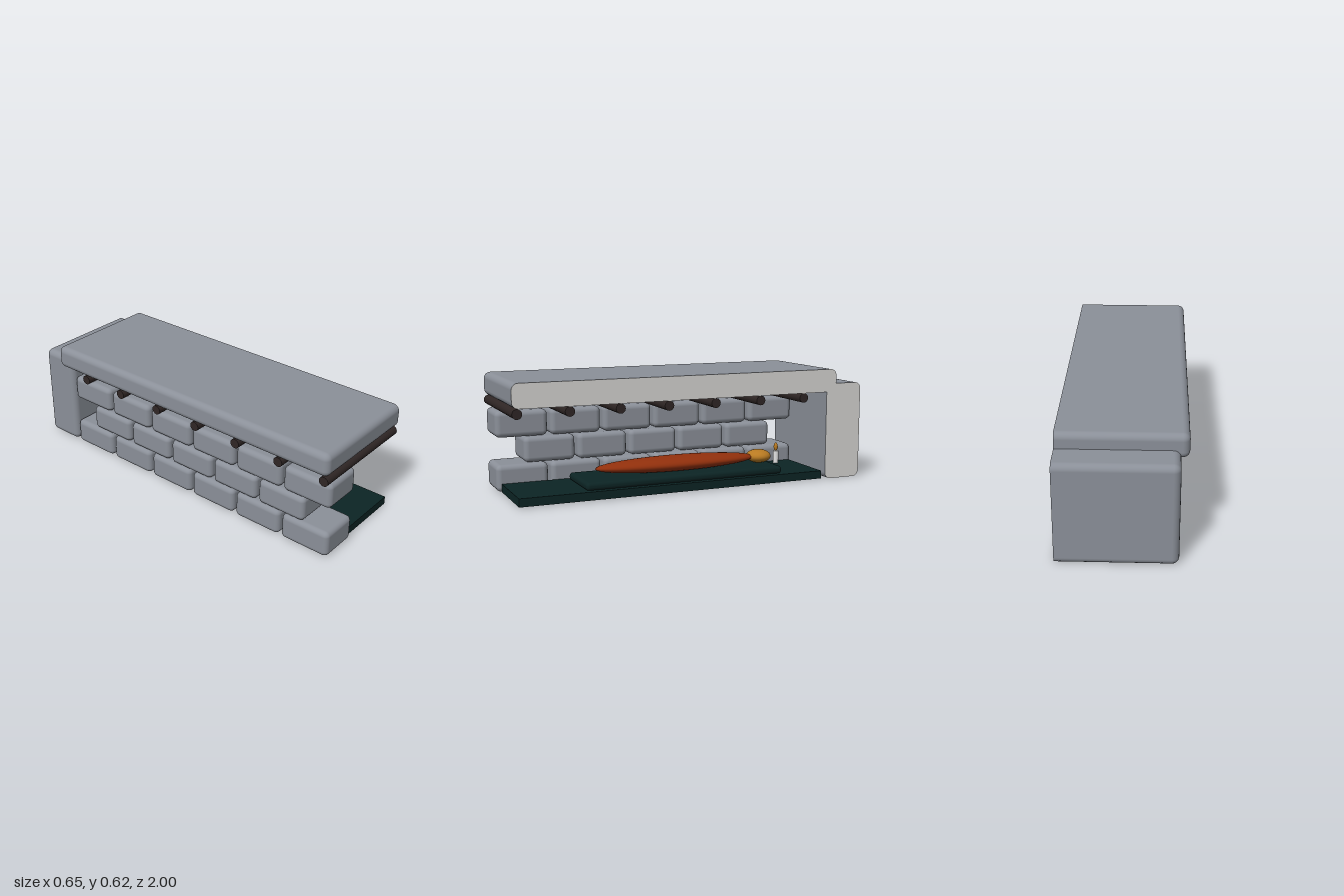
import * as THREE from 'three';
import { RoundedBoxGeometry } from 'three/addons/geometries/RoundedBoxGeometry.js';

const material = (name, color) => {
  const m = new THREE.MeshStandardMaterial({ color });
  m.name = name;
  return m;
};

export function createModel() {
  const root = new THREE.Group();
  root.name = 'stoneShelter';
  const stone = material('grey stone', 0x8b9099);
  const cutStone = material('pale cut stone', 0xd6d5d2);
  const wood = material('dark wood', 0x2f2625);
  const cloth = material('dark green cloth', 0x0c2424);
  const blanket = material('rust red', 0x92300c);
  const amber = material('amber', 0xb87a22);
  const wax = material('white wax', 0xe2e2e2);
  const CUT = 0.322; // plane where the shelter is sliced open

  const add = (name, geometry, mat, x, y, z, parent = root) => {
    const mesh = new THREE.Mesh(geometry, mat);
    mesh.name = name;
    mesh.position.set(x, y, z);
    parent.add(mesh);
    return mesh;
  };
  const ellipsoid = (rx, ry, rz) => new THREE.SphereGeometry(1, 32, 20).scale(rx, ry, rz);

  // Rounded slab between two corners
  const slab = (name, [x0, y0, z0], [x1, y1, z1], r, mat, parent) =>
    add(name, new RoundedBoxGeometry(x1 - x0, y1 - y0, z1 - z0, 3, r), mat,
      (x0 + x1) / 2, (y0 + y1) / 2, (z0 + z1) / 2, parent);

  // Rounded slab flattened at the cut plane, with a pale face covering the cut
  const cutSlab = (name, [x0, y0, z0], [y1, z1], r) => {
    const group = new THREE.Group();
    group.name = name;
    root.add(group);
    const body = slab(name + 'Stone', [x0, y0, z0], [CUT + r, y1, z1], r, stone, group);
    const p = body.geometry.attributes.position, n = body.geometry.attributes.normal;
    const limit = CUT - 0.002 - body.position.x;
    for (let i = 0; i < p.count; i++) {
      if (p.getX(i) < limit) continue;
      p.setX(i, limit);
      const len = Math.hypot(n.getY(i), n.getZ(i));
      if (len > 1e-3) n.setXYZ(i, 0, n.getY(i) / len, n.getZ(i) / len);
    }
    // Rounded rectangle, drawn with shape x along -z
    const w = (z1 - z0) / 2, h = (y1 - y0) / 2, s = new THREE.Shape();
    s.absarc(w - r, h - r, r, 0, Math.PI / 2);
    s.absarc(-w + r, h - r, r, Math.PI / 2, Math.PI);
    s.absarc(-w + r, -h + r, r, Math.PI, Math.PI * 1.5);
    s.absarc(w - r, -h + r, r, Math.PI * 1.5, Math.PI * 2);
    add(name + 'CutFace', new THREE.ShapeGeometry(s, 6).rotateY(Math.PI / 2), cutStone,
      CUT, (y0 + y1) / 2, (z0 + z1) / 2, group);
  };

  // Roof slab and end wall
  cutSlab('roof', [-0.324, 0.495, -0.84], [0.622, 1], 0.035);
  cutSlab('endWall', [-0.281, 0.003, -1], [0.542, -0.78], 0.035);

  // Side wall: three staggered courses of blocks
  const wall = new THREE.Group();
  wall.name = 'blockWall';
  root.add(wall);
  [[0.003, 0.147, 6, 0.857], [0.151, 0.29, 5, 0.706], [0.293, 0.435, 6, 0.857]]
    .forEach(([y0, y1, count, z]) => {
      for (let i = 0; i < count; i++) {
        const c = z - i * 0.2975;
        slab('block', [-0.276, y0, c - 0.141], [-0.051, y1, c + 0.141], 0.028, stone, wall);
      }
    });

  // Roof poles
  const poleGeometry = new THREE.CylinderGeometry(0.026, 0.026, CUT + 0.31, 16).rotateZ(Math.PI / 2);
  for (let i = 0; i < 7; i++)
    add('roofPole', poleGeometry, wood, (CUT - 0.31) / 2, 0.469, 0.974 - i * 0.268);

  // Floor mat and mattress
  add('floorMat', new THREE.BoxGeometry(CUT + 0.043, 0.044, 1.73), cloth, (CUT - 0.043) / 2, 0.029, 0.11);
  slab('mattress', [-0.018, 0.048, -0.52], [0.295, 0.091, 0.616], 0.019, cloth);

  // Sleeping figure
  add('wrappedBody', ellipsoid(0.095, 0.042, 0.47), blanket, 0.139, 0.128, 0.05);
  add('head', ellipsoid(0.07, 0.037, 0.07), amber, 0.139, 0.128, -0.452);

  // Candle
  add('candle', new THREE.CylinderGeometry(0.016, 0.016, 0.074, 20), wax, 0.018, 0.087, -0.633);
  add('flame', ellipsoid(0.012, 0.024, 0.012), amber, 0.018, 0.147, -0.633);

  return root;
}
